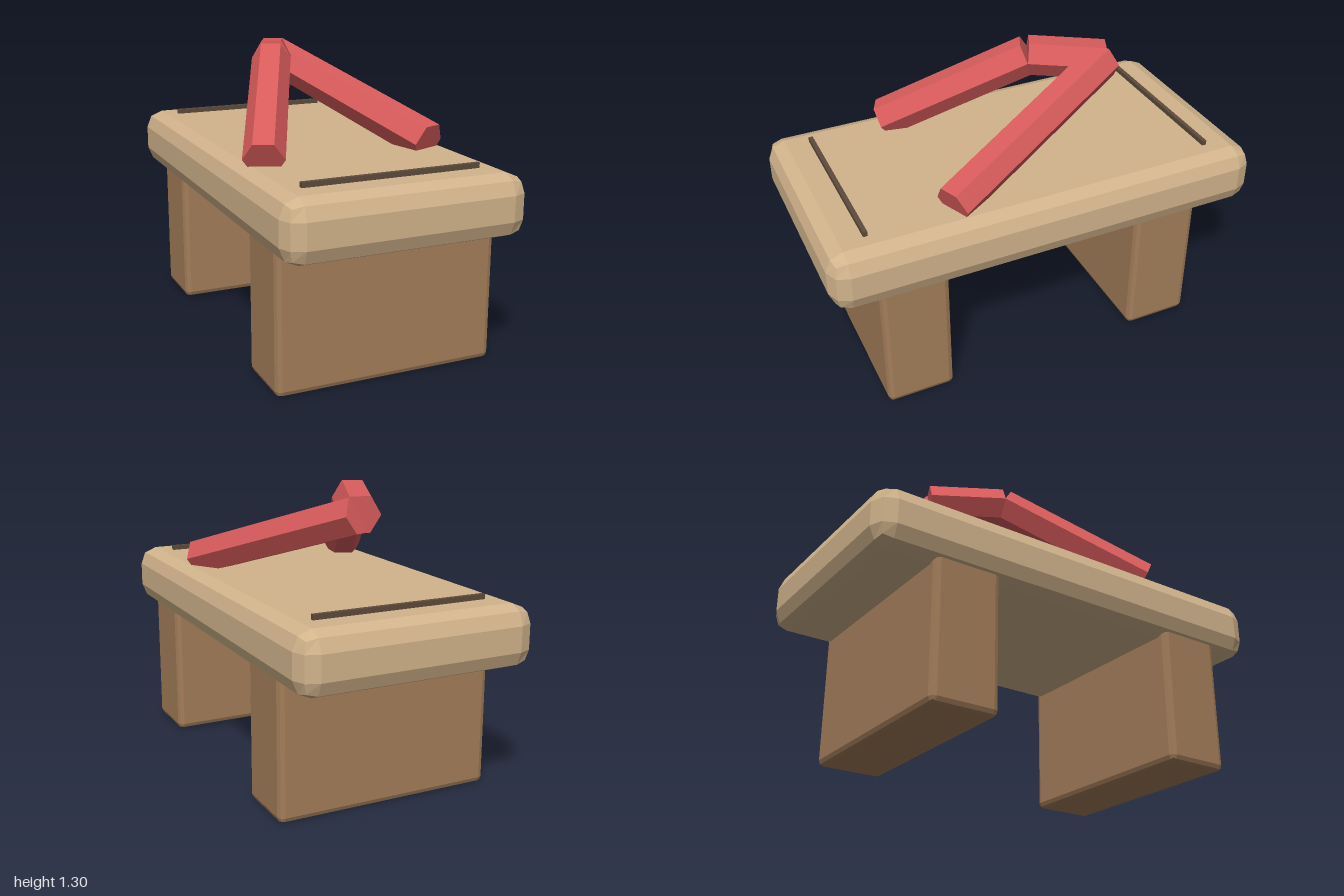
import * as THREE from 'three';
import { RoundedBoxGeometry } from 'three/addons/geometries/RoundedBoxGeometry.js';

function material(name, color) {
  const m = new THREE.MeshStandardMaterial({ color, flatShading: true });
  m.name = name;
  return m;
}

export function createModel() {
  const model = new THREE.Group();
  model.name = 'bench';
  const tan = material('tan', 0xd2b48c);
  const brown = material('brown', 0xa47e5a);
  const darkBrown = material('dark brown', 0x5e4b3c);
  const red = material('red', 0xd85b5b);

  function add(name, geometry, mat, x = 0, y = 0, z = 0) {
    const mesh = new THREE.Mesh(geometry, mat);
    mesh.name = name;
    mesh.position.set(x, y, z);
    model.add(mesh);
    return mesh;
  }

  // Thick seat slab with faceted rounded edges
  add('seat', new RoundedBoxGeometry(1.064, 0.27, 2, 1, 0.08), tan, 0, 0.73, 0);

  // Two wide block legs, tops sunk into the seat
  for (const [name, z] of [['frontLeg', 0.645], ['backLeg', -0.569]]) {
    add(name, new RoundedBoxGeometry(0.992, 0.66, 0.308, 1, 0.025), brown, 0, 0.33, z);
  }

  // Thin raised strips near each end of the seat
  for (const [name, z] of [['frontStrip', 0.809], ['backStrip', -0.809]]) {
    add(name, new THREE.BoxGeometry(0.79, 0.04, 0.02), darkBrown, 0, 0.867, z);
  }

  // Hexagonal bar between two points, flat side up
  function bar(name, a, b) {
    const axis = b.clone().sub(a);
    const length = axis.length();
    axis.normalize();
    const side = new THREE.Vector3().crossVectors(axis, new THREE.Vector3(0, 1, 0)).normalize();
    const cross = new THREE.Vector3().crossVectors(axis, side);
    const mid = a.clone().add(b).multiplyScalar(0.5);
    const mesh = add(name, new THREE.CylinderGeometry(0.09, 0.09, length, 6), red, mid.x, mid.y, mid.z);
    mesh.quaternion.setFromRotationMatrix(new THREE.Matrix4().makeBasis(cross, axis, side));
  }

  // Bent red frame resting on the seat
  const points = [
    [-0.407, 0.895, 0.455], [-0.127, 1.222, -0.16], [0.01, 1.195, -0.48], [0.383, 0.895, 0.425],
  ].map((p) => new THREE.Vector3(...p));
  ['rightBar', 'bentBar', 'leftBar'].forEach((name, i) => bar(name, points[i], points[i + 1]));

  return model;
}
